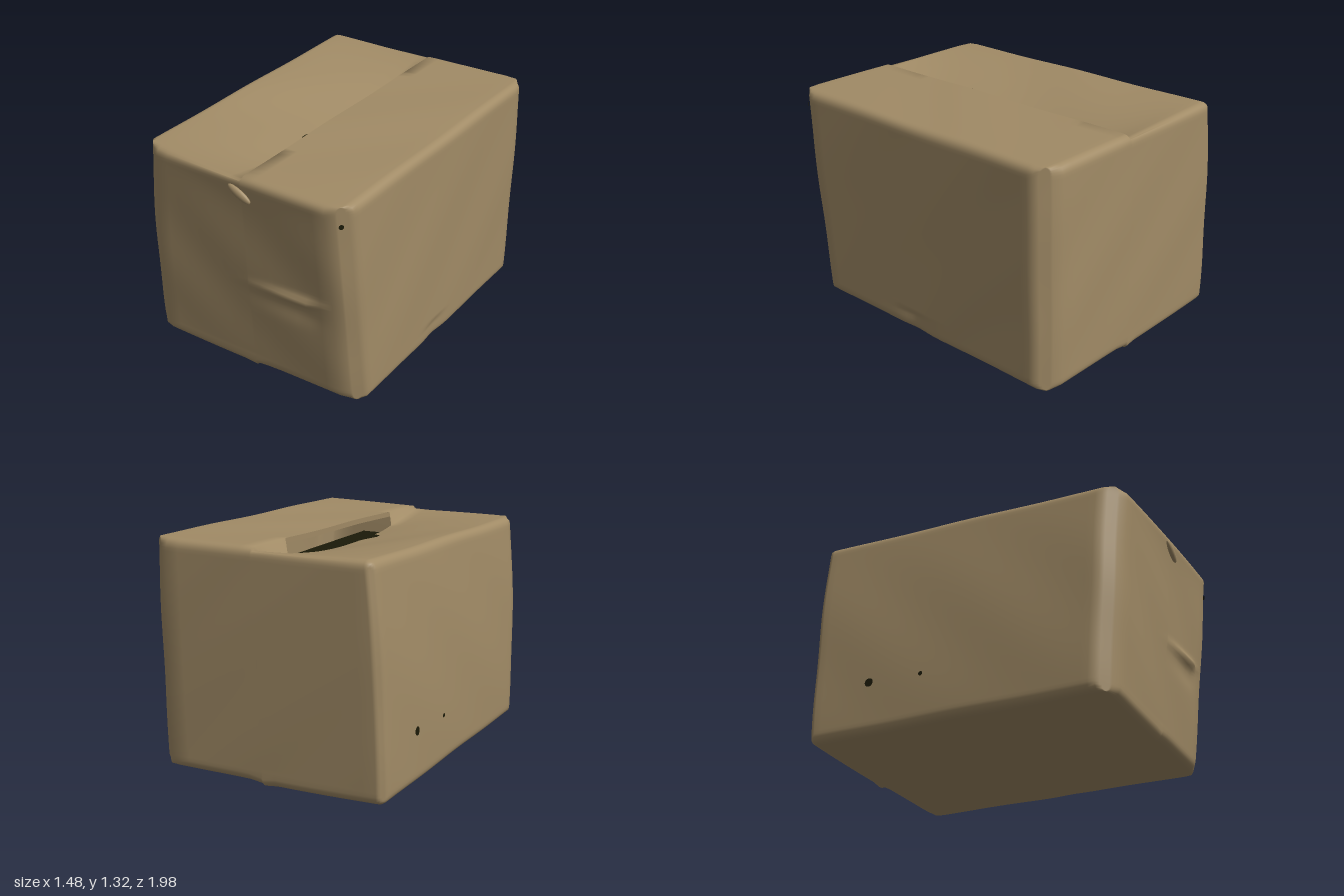
import * as THREE from 'three';
import { mergeVertices } from 'three/addons/utils/BufferGeometryUtils.js';

const HALF = { x: 0.7, y: 0.64, z: 0.95 };
const ROUND = 0.05;
const SEG = { x: 24, y: 64, z: 48 };
const { lerp, clamp } = THREE.MathUtils;
const V = (x, y, z) => new THREE.Vector3(x, y, z);
const hump = (d, width) => Math.exp(-((d / width) ** 2));

// Crooked carton corners, indexed [y][z][x] from low to high
const CORNERS = [
  [[V(-0.715, 0.03, -0.985), V(0.72, 0.008, -0.965)], [V(-0.735, 0.035, 0.83), V(0.715, 0.025, 0.845)]],
  [[V(-0.64, 1.315, -0.995), V(0.745, 1.315, -0.96)], [V(-0.675, 1.265, 0.895), V(0.695, 1.275, 0.99)]],
];

// Grid step to flat coordinate, with three steps in each rounded edge
function spread(t, n, h) {
  const s = (t + 1) / 2 * n, f = h - ROUND;
  if (s < 3) return -h + s / 3 * ROUND;
  if (s > n - 3) return h - (n - s) / 3 * ROUND;
  return lerp(-f, f, (s - 3) / (n - 6));
}

// Same across x, with columns 12 and 13 following the flap seam
function spreadX(t, z, top) {
  const s = (t + 1) / 2 * SEG.x, f = HALF.x - ROUND;
  if (s < 3 || s > 21) return spread(t, SEG.x, HALF.x);
  const gap = top ? 0.04 * Math.max(0, 1 - (z / 0.63) ** 2) + 0.08 * Math.exp(-(((z - 0.24) / 0.065) ** 4)) : 0;
  const left = 0.02 - gap, right = 0.03;
  if (s <= 12) return lerp(-f, left, (s - 3) / 9);
  if (s >= 13) return lerp(right, f, (s - 13) / 8);
  return lerp(left, right, s - 12);
}

// Maps a point of a cube from -1 to 1 to the dented carton surface
function surface(tx, ty, tz) {
  const top = ty > 0.999, bottom = ty < -0.999;
  const z = spread(tz, SEG.z, HALF.z), y = spread(ty, SEG.y, HALF.y), x = spreadX(tx, z, top);
  const p = V(x, y, z);
  const core = V(...['x', 'y', 'z'].map((a) => clamp(p[a], ROUND - HALF[a], HALF[a] - ROUND)));
  p.sub(core).setLength(ROUND).add(core);
  const u = p.x / HALF.x, v = p.y / HALF.y, w = p.z / HALF.z;
  const mix = (a, b, k) => a.clone().lerp(b, (k + 1) / 2);
  const layer = (c) => mix(mix(c[0][0], c[0][1], u), mix(c[1][0], c[1][1], u), w);
  const q = mix(layer(CORNERS[0]), layer(CORNERS[1]), v);

  // Slack walls
  const su = 1 - u * u, sv = 1 - v * v, sw = 1 - w * w;
  q.x += u * sv * ((u < 0 ? 0.02 : 0.004) + 0.003 * Math.sin(w * 7 + v * 4));
  q.z += w * sv * (0.006 + 0.003 * Math.sin(u * 6 + v * 5 + w));
  q.y += 0.003 * Math.sin(u * 5 + w * 6) * sw * Math.abs(v);

  // Crushed upright corners; the left one at the back stays sharper
  const crush = u < 0 && w < 0 ? 0.04 : 0.1;
  const cut = Math.max(0, crush - (1 - Math.abs(u)) * HALF.x - (1 - Math.abs(w)) * HALF.z) / 2;
  q.x -= Math.sign(u) * cut;
  q.z -= Math.sign(w) * cut;

  // Front: creased tape end and a bulge below the top edge
  if (w > 0.9) {
    const along = clamp(q.x / 0.3, 0, 1) * clamp((0.5 - q.x) / 0.05, 0, 1);
    q.z += 0.026 * along * hump(q.y - 0.605 - 0.03 * q.x, 0.028);
    q.z -= 0.008 * along * hump(q.y - 0.53, 0.06);
    q.z += 0.015 * su * Math.max(0, v) ** 6;
  }

  // One top flap sags toward the seam
  if (top && tx < 0.001) q.y -= 0.12 * clamp(1 + x / HALF.x, 0, 1) ** 1.3 * Math.max(0, sw) ** 0.7;
  // Bottom flaps: one droops at the seam, both fray at their ends
  if (v < -0.9) {
    if (tx < 0.001) q.y -= 0.014 * su;
    q.y -= 0.018 * hump(q.x - 0.05, 0.04) * w ** 8;
  }
  // Small dents along the bottom edge of the right wall
  if (bottom || v < -0.8) q.x -= 0.012 * Math.max(0, u) ** 4 * hump(w - 0.1, 0.1);
  return q;
}

// Moves every point of a cube-space geometry onto the carton
function wrap(geo) {
  const pos = geo.attributes.position;
  for (let i = 0; i < pos.count; i++) {
    const q = surface(pos.getX(i), pos.getY(i), pos.getZ(i));
    pos.setXYZ(i, q.x, q.y, q.z);
  }
  return geo;
}

// Carton shell with the open part of the top seam left out
function cartonGeometry() {
  const geo = new THREE.BoxGeometry(2, 2, 2, SEG.x, SEG.y, SEG.z);
  geo.deleteAttribute('uv');
  geo.deleteAttribute('normal');
  geo.clearGroups();
  const pos = geo.attributes.position, old = geo.index.array, kept = [];
  for (let i = 0; i < old.length; i += 3) {
    const c = V(0, 0, 0);
    for (let k = 0; k < 3; k++) c.add(V(0, 0, 0).fromBufferAttribute(pos, old[i + k]));
    c.divideScalar(3);
    const open = c.y > 0.999 && c.x > 0 && c.x < 2 / SEG.x && Math.abs(spread(c.z, SEG.z, HALF.z)) < 0.6;
    if (!open) kept.push(old[i], old[i + 1], old[i + 2]);
  }
  geo.setIndex(kept);
  const merged = mergeVertices(wrap(geo), 1e-5);
  merged.computeVertexNormals();
  return merged;
}

// Turned-down edge of the upper flap along the opening
function lipGeometry() {
  const geo = new THREE.PlaneGeometry(1, 1, 40, 1);
  const pos = geo.attributes.position;
  for (let i = 0; i < pos.count; i++) {
    const q = surface(2 / SEG.x, 1, pos.getX(i) * 1.3);
    pos.setXYZ(i, q.x, q.y - (pos.getY(i) < 0 ? 0.03 : 0), q.z);
  }
  geo.computeVertexNormals();
  return geo;
}

export function createModel() {
  const group = new THREE.Group();
  const material = (name, color) => {
    const m = new THREE.MeshStandardMaterial({ color, side: THREE.DoubleSide });
    m.name = name;
    return m;
  };
  const cardboard = material('cardboard', 0xa18b66);
  const dark = material('darkInside', 0x1b1a08);

  const add = (name, geo, mat, x = 0, y = 0, z = 0) => {
    const mesh = new THREE.Mesh(geo, mat);
    mesh.name = name;
    mesh.position.set(x, y, z);
    group.add(mesh);
    return mesh;
  };

  add('carton', cartonGeometry(), cardboard);
  add('flapLip', lipGeometry(), cardboard);

  // Dark interior below the open seam
  add('inside', new THREE.PlaneGeometry(0.4, 1.3).rotateX(-Math.PI / 2), dark, 0.06, 1.13, 0);

  // Small holes in the left wall
  for (const [y, z, r] of [[0.33, -0.6, 0.026], [0.32, -0.27, 0.013]]) {
    const disc = new THREE.CircleGeometry(r, 12).rotateY(-Math.PI / 2);
    const hit = surface(-1, (y - 0.65) / 0.68, z / 0.98);
    add('wallHole', disc, dark, hit.x - 0.004, y, z).rotation.z = -0.04;
  }
  // Split at the front top corner
  add('cornerSplit', new THREE.CircleGeometry(0.014, 10).rotateY(Math.PI / 4), dark, 0.657, 1.17, 0.948);

  // Peeled tape end, a flat leaf lying on the front
  const leaf = add('peeledTape', new THREE.SphereGeometry(1, 20, 10), cardboard, 0.03, 1.175, 0.95);
  leaf.scale.set(0.08, 0.026, 0.018);
  leaf.rotation.z = -0.5;

  return group;
}
